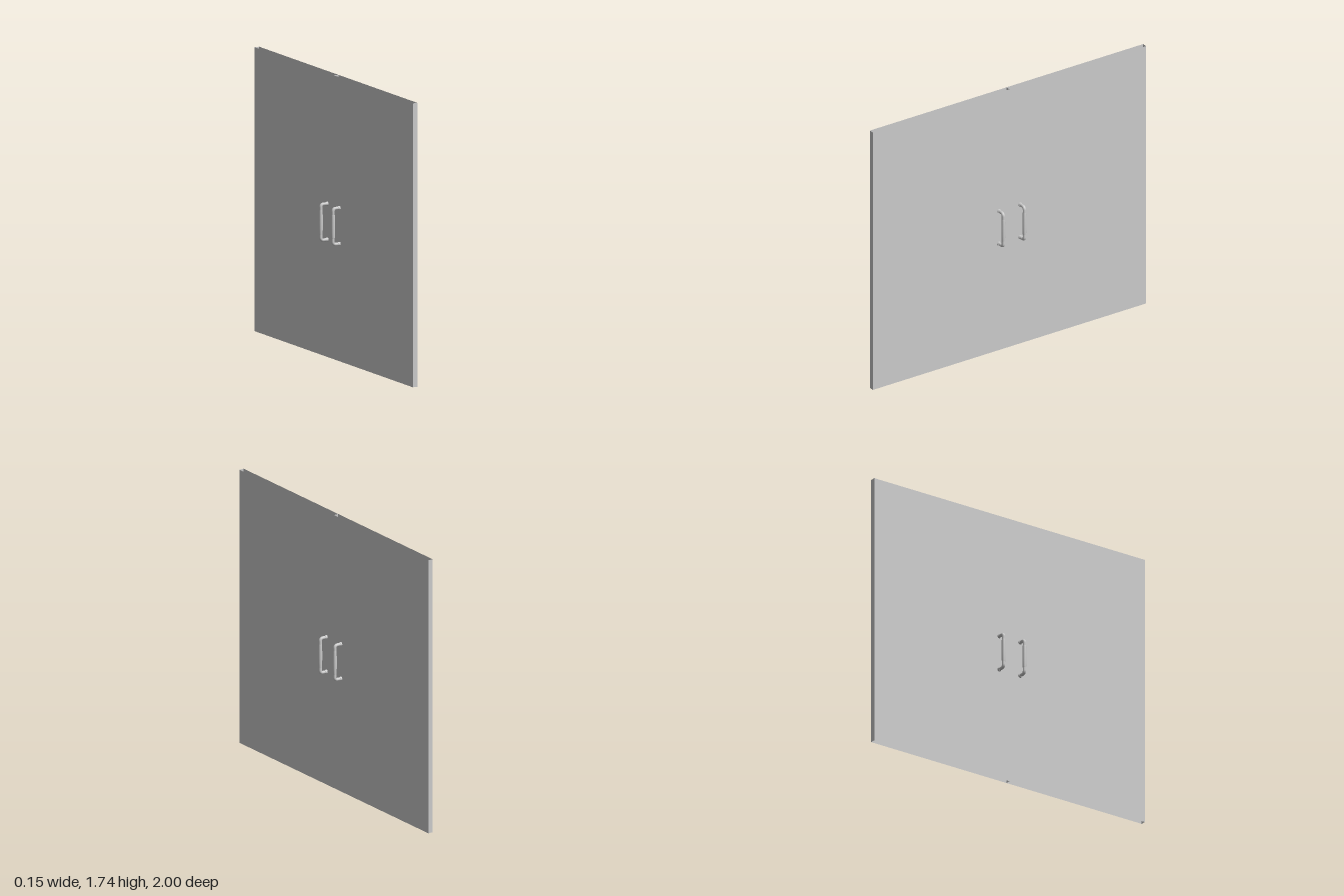
import * as THREE from 'three';

const HEIGHT = 1.74, HALF_T = 0.016;   // door height, half thickness
const LOW = 0.72, HIGH = 0.94;         // handle leg heights
const GRIP_X = 0.062, BEND = 0.018;

// Upright panel shell: four walls, open along the top and bottom edges
function doorPanel(material) {
  const box = new THREE.BoxGeometry(HALF_T * 2, HEIGHT, 1);
  const index = Array.from(box.index.array);
  index.splice(12, 12);                // drop the top and bottom faces
  box.setIndex(index);
  box.clearGroups();
  return new THREE.Mesh(box, material);
}

// Pull handle standing off the +x side of the door
function pullHandle(material) {
  const handle = new THREE.Group();
  const add = (name, geometry) => {
    const mesh = new THREE.Mesh(geometry, material);
    mesh.name = name;
    handle.add(mesh);
    return mesh;
  };
  const v = (x, y) => new THREE.Vector3(x, y, 0);

  // Bent bar: leg, elbow, upright, elbow, leg
  const path = new THREE.CurvePath();
  path.add(new THREE.LineCurve3(v(HALF_T, LOW), v(GRIP_X - BEND, LOW)));
  path.add(new THREE.QuadraticBezierCurve3(v(GRIP_X - BEND, LOW), v(GRIP_X, LOW), v(GRIP_X, LOW + BEND)));
  path.add(new THREE.LineCurve3(v(GRIP_X, LOW + BEND), v(GRIP_X, HIGH - BEND)));
  path.add(new THREE.QuadraticBezierCurve3(v(GRIP_X, HIGH - BEND), v(GRIP_X, HIGH), v(GRIP_X - BEND, HIGH)));
  path.add(new THREE.LineCurve3(v(GRIP_X - BEND, HIGH), v(HALF_T, HIGH)));
  add('bar', new THREE.TubeGeometry(path, 90, 0.01, 16, false));

  // Swollen grip around the upright
  const profile = [[0.0095, -0.075], [0.011, -0.068], [0.012, -0.035], [0.0125, 0],
    [0.012, 0.035], [0.011, 0.068], [0.0095, 0.075]].map(([r, y]) => new THREE.Vector2(r, y));
  add('grip', new THREE.LatheGeometry(profile, 20)).position.set(GRIP_X, (LOW + HIGH) / 2, 0);

  // Collars against the door face
  for (const y of [LOW, HIGH]) {
    const collar = add('collar', new THREE.CylinderGeometry(0.0115, 0.013, 0.012, 20));
    collar.rotation.z = -Math.PI / 2;
    collar.position.set(HALF_T + 0.006, y, 0);
  }
  return handle;
}

export function createModel() {
  const model = new THREE.Group();
  model.name = 'doubleDoor';
  const material = new THREE.MeshStandardMaterial({ color: 0xcccccc, side: THREE.DoubleSide });

  for (const side of [1, -1]) {
    const label = side > 0 ? 'front' : 'back';
    const panel = doorPanel(material);
    panel.name = label + 'DoorPanel';
    panel.position.set(0, HEIGHT / 2, side * 0.5);
    model.add(panel);

    // One handle on each face of the door
    for (const face of [0, Math.PI]) {
      const handle = pullHandle(material);
      handle.name = label + (face ? 'RightHandle' : 'LeftHandle');
      handle.rotation.y = face;
      handle.position.z = side * 0.077;
      model.add(handle);
    }
  }
  return model;
}
